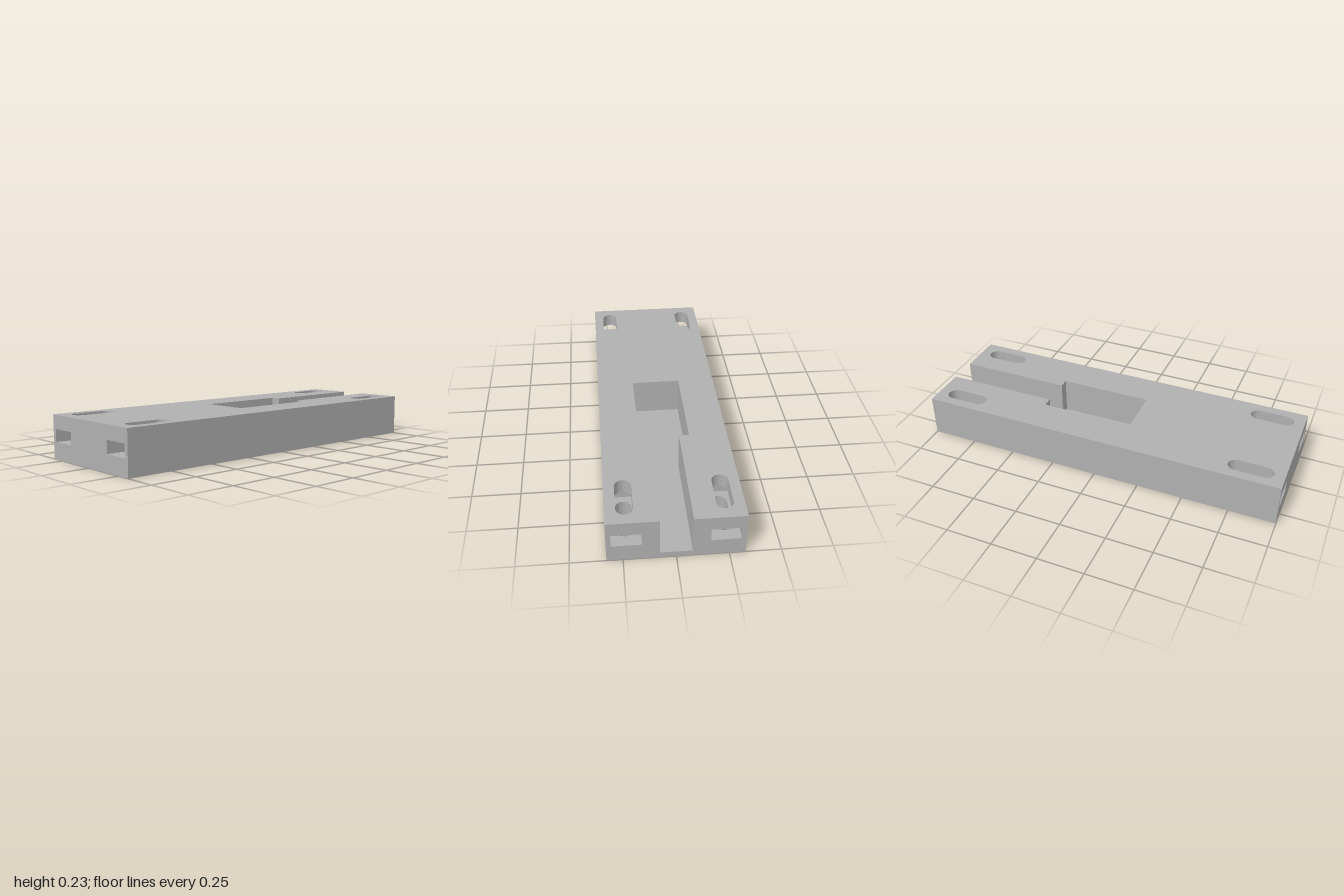
import * as THREE from 'three';
import { toCreasedNormals } from 'three/addons/utils/BufferGeometryUtils.js';

const W = 0.3275, H = 0.23, L = 1;            // half width, height, half length
const FLOOR = 0.03;                           // channel floor height
const CH = 0.077, PW = 0.13, PB = -0.38, PF = 0.127; // channel and recess plan
const NX0 = 0.16, NX1 = 0.305, NY0 = 0.09, NY1 = 0.157, NZ = 0.67; // end pockets
const SX = 0.234, SZ = 0.823, SR = 0.041, SH = 0.077; // bolt slots

export function createModel() {
  const model = new THREE.Group();
  const grey = new THREE.MeshStandardMaterial({ color: 0xb0b0b0, side: THREE.DoubleSide });
  grey.name = 'plain grey';

  const add = (name, geometry) => {
    const mesh = new THREE.Mesh(geometry, grey);
    mesh.name = name;
    model.add(mesh);
  };
  const polygon = (pts) => new THREE.Shape(pts.map(([x, y]) => new THREE.Vector2(x, y)));
  const rect = (x0, y0, x1, y1) => polygon([[x0, y0], [x1, y0], [x1, y1], [x0, y1]]);

  // Rounded slot outline, drawn in plan (x, z)
  const slot = (x, z) => {
    const s = new THREE.Shape();
    s.absarc(x, z + SH, SR, 0, Math.PI, false);
    s.absarc(x, z - SH, SR, Math.PI, 2 * Math.PI, false);
    s.closePath();
    return s;
  };

  // Horizontal face from a plan shape
  const cap = (name, shape, y, up) => {
    const g = new THREE.ShapeGeometry(shape, 16).rotateX(Math.PI / 2).translate(0, y, 0);
    if (up) {
      const index = g.index.array;
      for (let i = 0; i < index.length; i += 3) [index[i], index[i + 1]] = [index[i + 1], index[i]];
      g.computeVertexNormals();
    }
    add(name, g);
  };

  // Vertical wall along a plan path; counterclockwise paths face inward
  const wall = (name, pts, y0, y1) => {
    const pos = [], index = [];
    pts.forEach(([x, z], i) => {
      pos.push(x, y0, z, x, y1, z);
      const a = 2 * i;
      if (i < pts.length - 1) index.push(a, a + 2, a + 3, a, a + 3, a + 1);
    });
    const g = new THREE.BufferGeometry();
    g.setAttribute('position', new THREE.Float32BufferAttribute(pos, 3));
    g.setIndex(index);
    add(name, toCreasedNormals(g, 0.6));
  };

  // Plan outline of the channel and the wider recess
  const cutout = [[CH, -L], [CH, PB], [PW, PB], [PW, PF], [-PW, PF], [-PW, PB], [-CH, PB], [-CH, -L]];
  const corners = [[1, 1], [-1, 1], [1, -1], [-1, -1]];

  // Top and underside, pierced by the four slots
  const top = polygon([[-W, -L], ...cutout.slice().reverse(), [W, -L], [W, L], [-W, L]]);
  const bottom = rect(-W, -L, W, L);
  for (const [sx, sz] of corners) {
    top.holes.push(slot(sx * SX, sz * SZ));
    bottom.holes.push(slot(sx * SX, sz * SZ));
  }
  cap('topFace', top, H, true);
  cap('underside', bottom, 0, false);

  // Channel and recess
  cap('channelFloor', polygon(cutout), FLOOR, true);
  wall('channelWalls', cutout, FLOOR, H);

  // Long sides
  wall('leftSide', [[W, L], [W, -L]], 0, H);
  wall('rightSide', [[-W, -L], [-W, L]], 0, H);

  // Ends with pocket openings; the back end is notched by the channel
  const front = rect(-W, 0, W, H);
  const back = polygon([[-W, 0], [W, 0], [W, H], [CH, H], [CH, FLOOR], [-CH, FLOOR], [-CH, H], [-W, H]]);
  for (const face of [front, back]) {
    face.holes.push(rect(NX0, NY0, NX1, NY1), rect(-NX1, NY0, -NX0, NY1));
  }
  add('frontEnd', new THREE.ShapeGeometry(front).translate(0, 0, L));
  add('backEnd', new THREE.ShapeGeometry(back).rotateY(Math.PI).translate(0, 0, -L));

  // End pockets crossed by the bolt slots
  for (const [sx, sz] of corners) {
    const hole = slot(sx * SX, sz * SZ);
    const rim = hole.getPoints(16).map((p) => [p.x, p.y]);
    wall('lowerSlot', rim, 0, NY0);
    wall('upperSlot', rim, NY1, H);

    let path = [[NX0, L], [NX0, NZ], [NX1, NZ], [NX1, L]].map(([x, z]) => [sx * x, sz * z]);
    if (sx * sz < 0) path = path.reverse();
    wall('pocketWalls', path, NY0, NY1);
    const plan = polygon(path);
    plan.holes.push(hole);
    cap('pocketFloor', plan, NY0, true);
    cap('pocketCeiling', plan, NY1, false);
  }
  return model;
}
